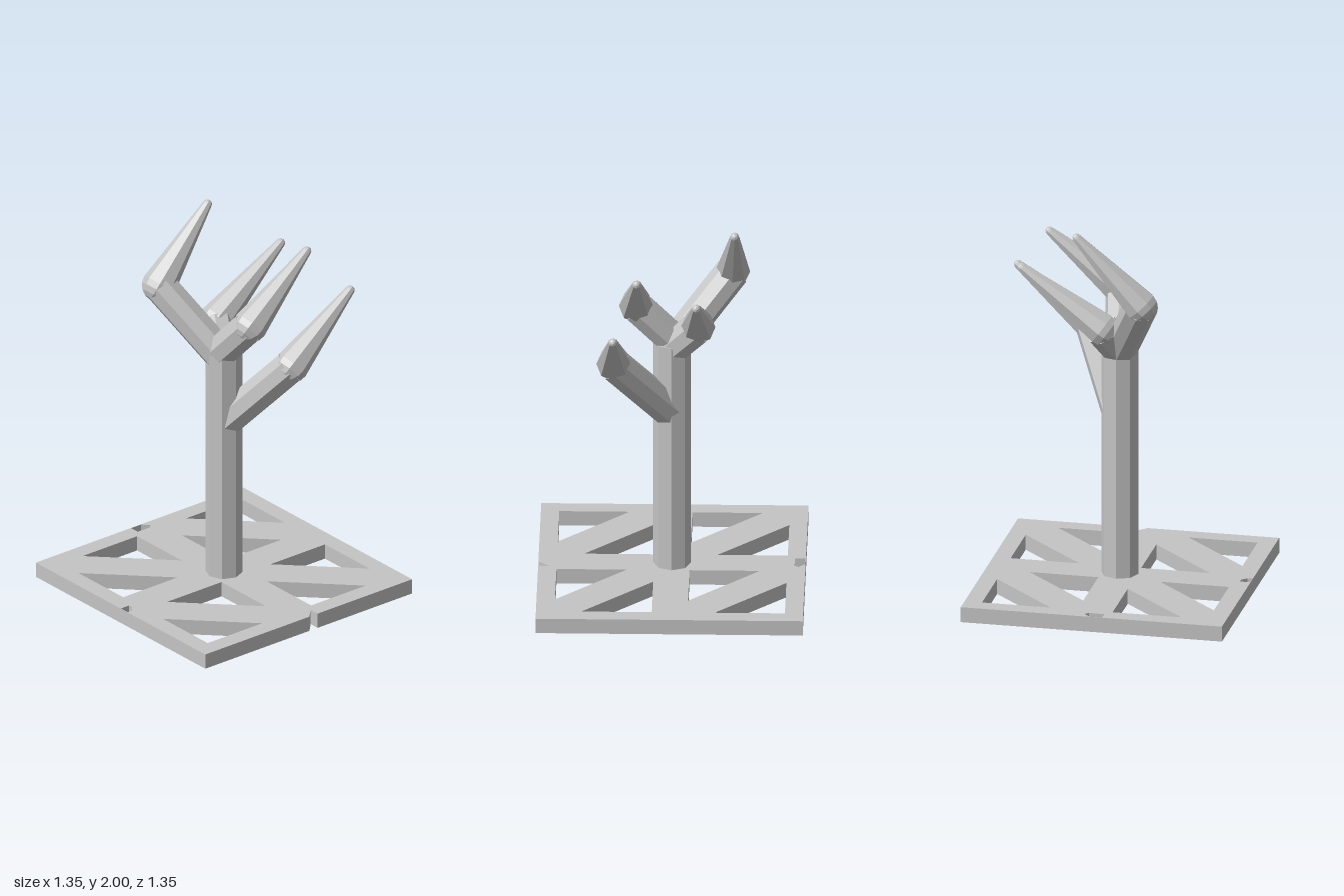
import * as THREE from 'three';

const SIDES = 8;
const R = 0.088; // branch and knuckle radius
const TIP = 0.024; // finger tip radius
const UP = new THREE.Vector3(0, 1, 0);

const grey = new THREE.MeshStandardMaterial({ color: 0xc4c4c4 });
grey.name = 'grey';

// Faceted mesh
function part(name, geometry) {
  const flat = geometry.index ? geometry.toNonIndexed() : geometry;
  flat.computeVertexNormals();
  const mesh = new THREE.Mesh(flat, grey);
  mesh.name = name;
  return mesh;
}

// Turn a part that grows along +y so it grows from a towards b
function aim(mesh, a, b) {
  mesh.position.copy(a);
  mesh.quaternion.setFromUnitVectors(UP, b.clone().sub(a).normalize());
  return mesh;
}

// Eight-sided straight limb from a to b
function limb(name, a, b, radius) {
  const length = a.distanceTo(b);
  const geometry = new THREE.CylinderGeometry(radius, radius, length, SIDES);
  geometry.translate(0, length / 2, 0);
  return aim(part(name, geometry), a, b);
}

// Tapered finger: rounded knuckle at a, small rounded tip at b
function finger(a, b) {
  const length = a.distanceTo(b);
  const profile = [];
  for (let i = 0; i <= 4; i++) {
    const t = (i / 4 - 1) * Math.PI / 2;
    profile.push(new THREE.Vector2(R * Math.cos(t), R * Math.sin(t)));
  }
  for (let i = 0; i <= 3; i++) {
    const t = (i / 3) * Math.PI / 2;
    profile.push(new THREE.Vector2(TIP * Math.cos(t), length + TIP * Math.sin(t)));
  }
  profile[0].x = profile[profile.length - 1].x = 0;
  return aim(part('finger', new THREE.LatheGeometry(profile, SIDES)), a, b);
}

// Square plate with an open edge notch, two slots behind a thin outer wall,
// and eight triangular windows
function base() {
  const toPoints = (list) => list.map(([x, z]) => new THREE.Vector2(x, -z));
  const h = 0.675;
  const wall = h - 0.002;
  const shape = new THREE.Shape(toPoints([
    [-h, -h], [h, -h],
    [h, -0.058], [0.62, -0.058], [h, -0.004],
    [h, h], [-h, h],
  ]));
  // Holes run the opposite way round to the outline
  const cut = (list) => shape.holes.push(new THREE.Path(toPoints(list)));
  cut([[0.055, wall], [0.055, 0.647], [0.027, 0.62], [0, 0.62], [0, wall]]);
  cut([[-wall, 0.055], [-0.62, 0.055], [-0.62, -0.025], [-0.638, -0.043], [-wall, -0.008]]);
  const leg = 0.355;
  for (const x0 of [-0.583, 0.09]) {
    for (const z0 of [-0.585, 0.09]) {
      const x1 = x0 + 0.492;
      const z1 = z0 + 0.493;
      cut([[x0, z0], [x0, z0 + leg], [x0 + leg, z0]]);
      cut([[x1, z1], [x1, z1 - leg], [x1 - leg, z1]]);
    }
  }
  const geometry = new THREE.ExtrudeGeometry(shape, { depth: 0.08, bevelEnabled: false });
  geometry.rotateX(-Math.PI / 2);
  return part('base', geometry);
}

export function createModel() {
  const model = new THREE.Group();
  model.name = 'branchedStand';
  const v = (p) => new THREE.Vector3(...p);

  model.add(base());
  model.add(limb('trunk', v([0, 0.04, 0]), v([0, 1.32, 0]), 0.095));

  // Each branch: root on the trunk, knuckle, finger tip
  const branches = [
    ['tallBranch', [0, 1.28, 0], [-0.303, 1.63, 0.175], [-0.32, 1.977, -0.153]],
    ['rightBackBranch', [0, 1.28, 0], [-0.133, 1.43, -0.065], [-0.133, 1.728, -0.477]],
    ['leftBranch', [0, 1.33, 0.01], [0.18, 1.525, -0.025], [0.17, 1.823, -0.4]],
    ['lowBranch', [0, 0.92, 0], [0.29, 1.285, -0.205], [0.286, 1.588, -0.588]],
  ];
  for (const [name, root, knuckle, tip] of branches) {
    const branch = new THREE.Group();
    branch.name = name;
    branch.add(limb('arm', v(root), v(knuckle), R));
    branch.add(finger(v(knuckle), v(tip)));
    model.add(branch);
  }
  return model;
}
